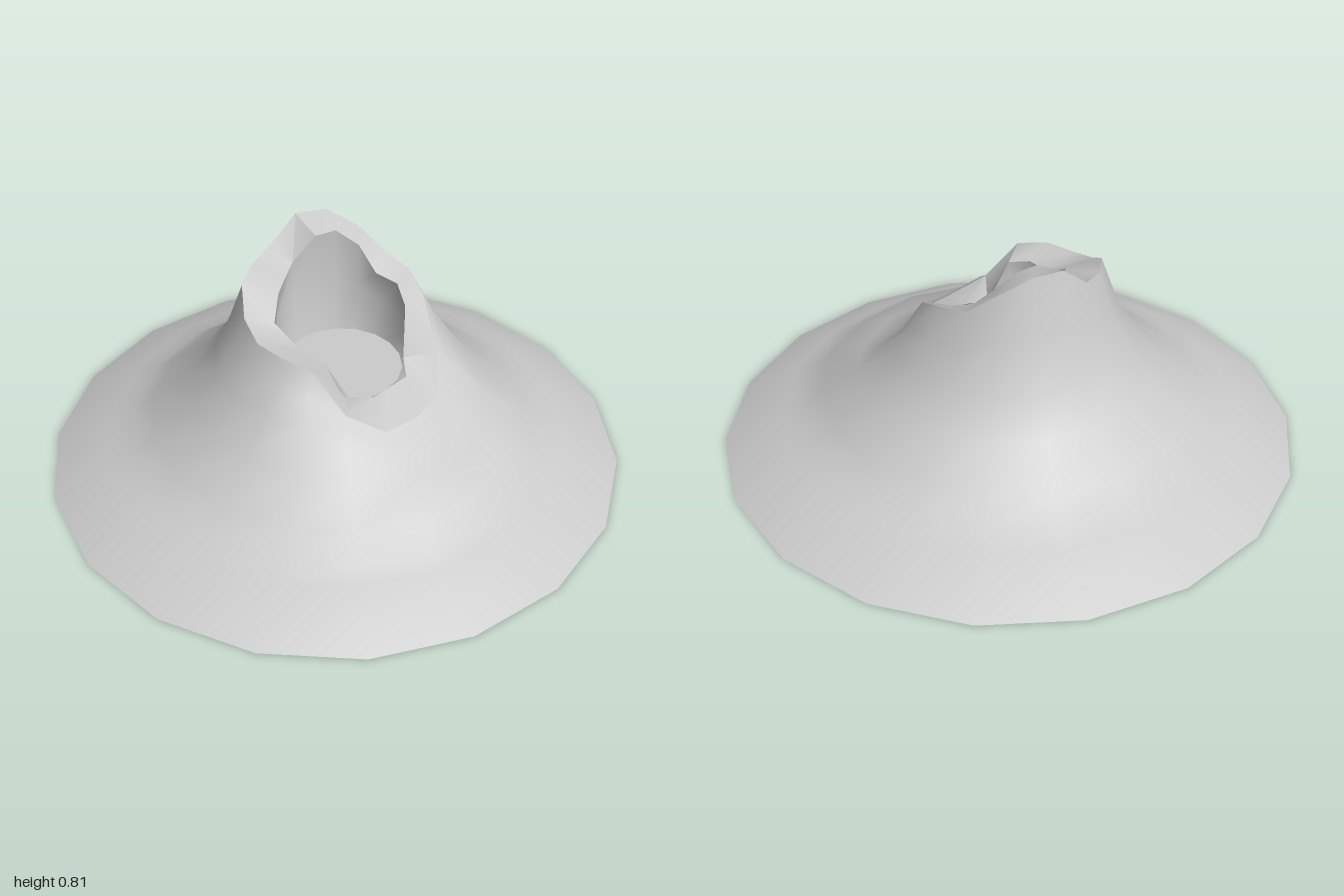
import * as THREE from 'three';
import { toCreasedNormals } from 'three/addons/utils/BufferGeometryUtils.js';

const SIDES = 18;

// Crater rim height every 20 degrees, from +x round through +z
const RIM = [0.36, 0.36, 0.43, 0.58, 0.6, 0.6, 0.63, 0.69, 0.7,
  0.72, 0.81, 0.81, 0.75, 0.67, 0.65, 0.61, 0.45, 0.36];

// Outer slope as [radius, height]: the normal flank, and the spill under the notch
const FLANK = [[1, 0], [0.8, 0.11], [0.72, 0.135], [0.64, 0.2], [0.5, 0.31], [0.41, 0.44]];
const SPILL = [[1, 0], [0.8, 0.11], [0.73, 0.13], [0.66, 0.205], [0.54, 0.25], [0.46, 0.3]];

// How much of the notch a side belongs to: 1 in the middle, 0 away from it
const notch = (i) => {
  const d = Math.min(i, SIDES - i);
  return d < 2 ? 1 : d === 2 ? 0.5 : 0;
};

// Point on a side, at a radius and height, with an optional centre
function at(i, r, y, cx = 0, cz = 0) {
  const a = (i / SIDES) * Math.PI * 2;
  return new THREE.Vector3(cx + r * Math.cos(a), y, cz + r * Math.sin(a));
}

const ring = (fn) => Array.from({ length: SIDES }, (_, i) => fn(i));

// Joins a list of rings into one surface
function loft(name, rings, crease, material) {
  const points = [];
  const index = [];
  rings.forEach((loop, j) => {
    loop.forEach((p, i) => {
      points.push(p.x, p.y, p.z);
      if (j === rings.length - 1) return;
      const k = (i + 1) % SIDES;
      const a = j * SIDES + i;
      const b = j * SIDES + k;
      index.push(a, a + SIDES, b, b, a + SIDES, b + SIDES);
    });
  });
  const geometry = new THREE.BufferGeometry();
  geometry.setAttribute('position', new THREE.Float32BufferAttribute(points, 3));
  geometry.setIndex(index);
  const mesh = new THREE.Mesh(toCreasedNormals(geometry, crease), material);
  mesh.name = name;
  return mesh;
}

export function createModel() {
  const group = new THREE.Group();
  group.name = 'volcano';
  const material = new THREE.MeshStandardMaterial({ color: 0xcccccc, side: THREE.DoubleSide });

  // Mountain side, sagging into a low spill below the notch
  const slope = FLANK.map(([r, y], j) => ring((i) => {
    const n = notch(i);
    return at(i, THREE.MathUtils.lerp(r, SPILL[j][0], n), THREE.MathUtils.lerp(y, SPILL[j][1], n));
  }));
  const outerRim = ring((i) => at(i, 0.31 + 0.07 * notch(i), RIM[i]));
  const shoulder = ring((i) => slope[5][i].clone().lerp(outerRim[i], 0.5).add(at(i, -0.006, 0)));
  group.add(loft('mountainSlope', [...slope, shoulder, outerRim], 1.1, material));

  // Crater: sloping lip, slightly undercut wall and flat floor
  const cx = 0.02;
  const cz = -0.015;
  const lipHeight = (i) => Math.max(0.4, RIM[i] - 0.03);
  const innerRim = ring((i) => at(i, 0.22 + 0.015 * Math.sin(i * 2.3), lipHeight(i), cx, cz));
  const wall = ring((i) => at(i, 0.235, 0.385 + (lipHeight(i) - 0.385) * 0.5, cx, cz));
  const floorEdge = ring((i) => at(i, 0.205, 0.38, cx, cz));
  const floorCentre = ring((i) => at(i, 0, 0.38, cx, cz));
  group.add(loft('craterLip', [outerRim, innerRim], 0.7, material));
  group.add(loft('craterWall', [innerRim, wall, floorEdge], 1, material));
  group.add(loft('craterFloor', [floorEdge, floorCentre], 0.5, material));

  // Flat underside
  group.add(loft('base', [ring((i) => at(i, 0, 0)), slope[0]], 0.5, material));
  return group;
}
